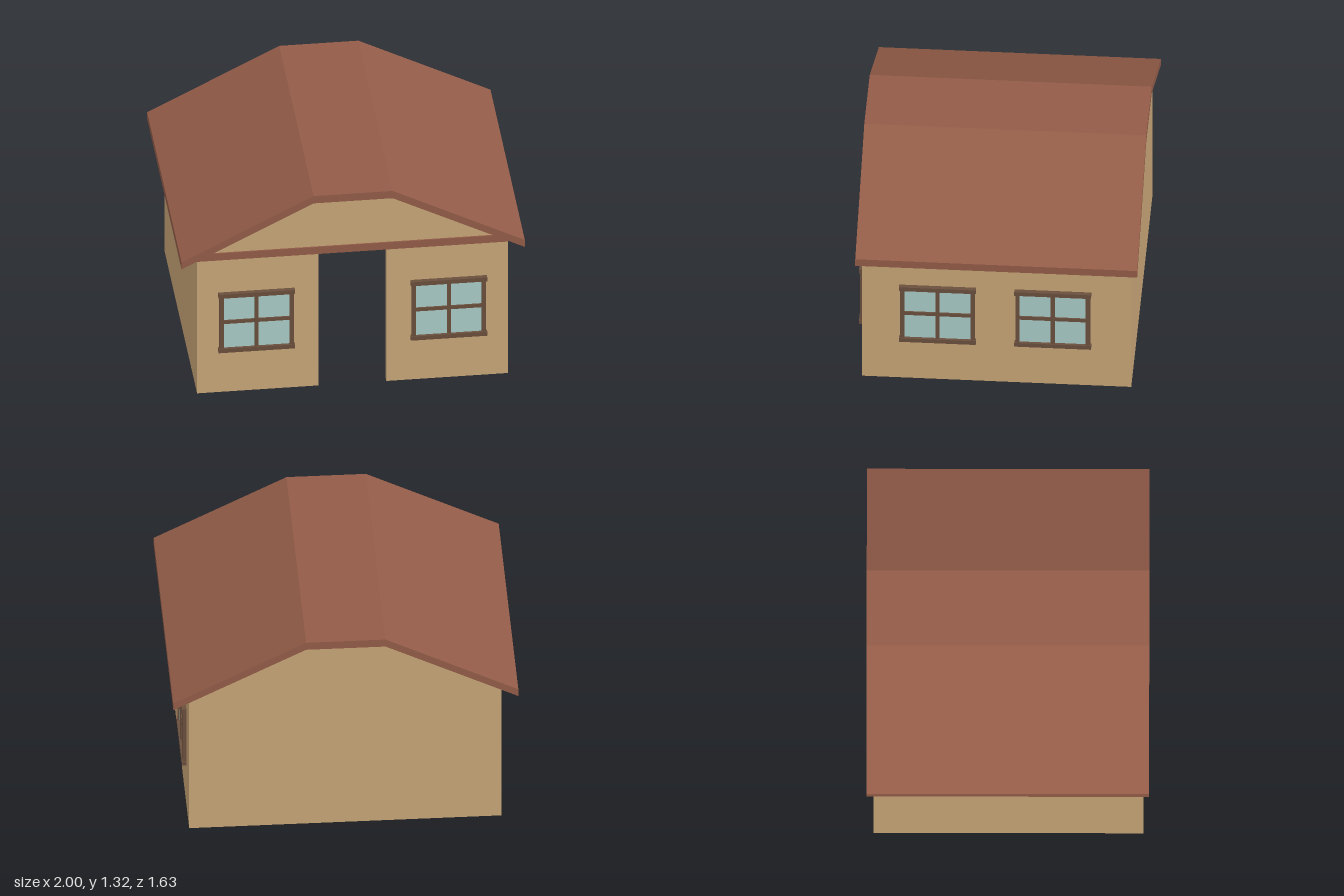
import * as THREE from 'three';

const mat = (color) => new THREE.MeshStandardMaterial({ color, flatShading: true });
const WALL = mat(0xc8a677), ROOF = mat(0x935c48), FRAME = mat(0x6b4f3d), GLASS = mat(0xaaccc8);

const W = 0.905, FRONT = 0.783, BACK = -0.776, T = 0.03; // wall planes and thickness
const EAVE = 0.925, RIDGE = 1.27, RIDGE_X = 0.23;        // underside of the roof at the walls and at the top

function addBox(parent, name, material, size, pos) {
  const mesh = new THREE.Mesh(new THREE.BoxGeometry(...size), material);
  mesh.name = name;
  mesh.position.set(...pos);
  parent.add(mesh);
}

// Prism with an (x, y) outline, running from z0 to z1
function addPrism(parent, name, material, points, z0, z1) {
  const shape = new THREE.Shape(points.map(([x, y]) => new THREE.Vector2(x, y)));
  const geo = new THREE.ExtrudeGeometry(shape, { depth: z1 - z0, bevelEnabled: false });
  const mesh = new THREE.Mesh(geo.translate(0, 0, z0), material);
  mesh.name = name;
  parent.add(mesh);
}

// Four-pane window facing +z, with its back on z = 0
function makeWindow() {
  const g = new THREE.Group();
  g.name = 'window';
  addBox(g, 'glass', GLASS, [0.4, 0.36, 0.01], [0, 0, 0.005]);
  for (const s of [-1, 1]) {
    addBox(g, 'jamb', FRAME, [0.025, 0.345, 0.022], [s * 0.204, 0, 0.011]);
    addBox(g, s > 0 ? 'head' : 'sill', FRAME, [0.445, 0.027, 0.027], [0, s * 0.186, 0.0135]);
  }
  addBox(g, 'mullion', FRAME, [0.023, 0.345, 0.02], [0, 0, 0.01]);
  addBox(g, 'crossbar', FRAME, [0.385, 0.023, 0.018], [0, 0.004, 0.009]);
  return g;
}

export function createModel() {
  const house = new THREE.Group();
  house.name = 'house';

  // Gabled end walls, the front one with an open doorway
  const gable = [[W, EAVE], [RIDGE_X, RIDGE], [-RIDGE_X, RIDGE], [-W, EAVE]];
  addPrism(house, 'frontWall', WALL, [
    [-W, 0], [-0.197, 0], [-0.197, 0.905], [0.197, 0.905], [0.197, 0], [W, 0], ...gable,
  ], FRONT - T, FRONT);
  addPrism(house, 'backWall', WALL, [[-W, 0], [W, 0], ...gable], BACK, BACK + T);

  // Side walls between the end walls
  const depth = FRONT - BACK - 2 * T;
  for (const s of [-1, 1]) {
    addBox(house, s > 0 ? 'leftWall' : 'rightWall', WALL,
      [T, EAVE, depth], [s * (W - T / 2), EAVE / 2, (FRONT + BACK) / 2]);
  }

  // Trim band across the foot of the front gable
  addPrism(house, 'gableTrim', ROOF,
    [[-W, 0.905], [W, 0.905], [W, EAVE], [0.85, 0.953], [-0.85, 0.953], [-W, EAVE]], FRONT, FRONT + 0.008);

  // Flat-topped roof shell with overhanging eaves
  addPrism(house, 'roof', ROOF, [
    [-1, 0.877], [-RIDGE_X, RIDGE], [RIDGE_X, RIDGE], [1, 0.877],
    [1, 0.925], [RIDGE_X, 1.32], [-RIDGE_X, 1.32], [-1, 0.925],
  ], -0.817, 0.817);

  // Two windows in the front and two in the left side
  for (const x of [-0.56, 0.56]) {
    const win = makeWindow();
    win.position.set(x, 0.481, FRONT);
    house.add(win);
  }
  for (const z of [0.346, -0.322]) {
    const win = makeWindow();
    win.position.set(W, 0.48, z);
    win.rotation.y = Math.PI / 2;
    house.add(win);
  }
  return house;
}
